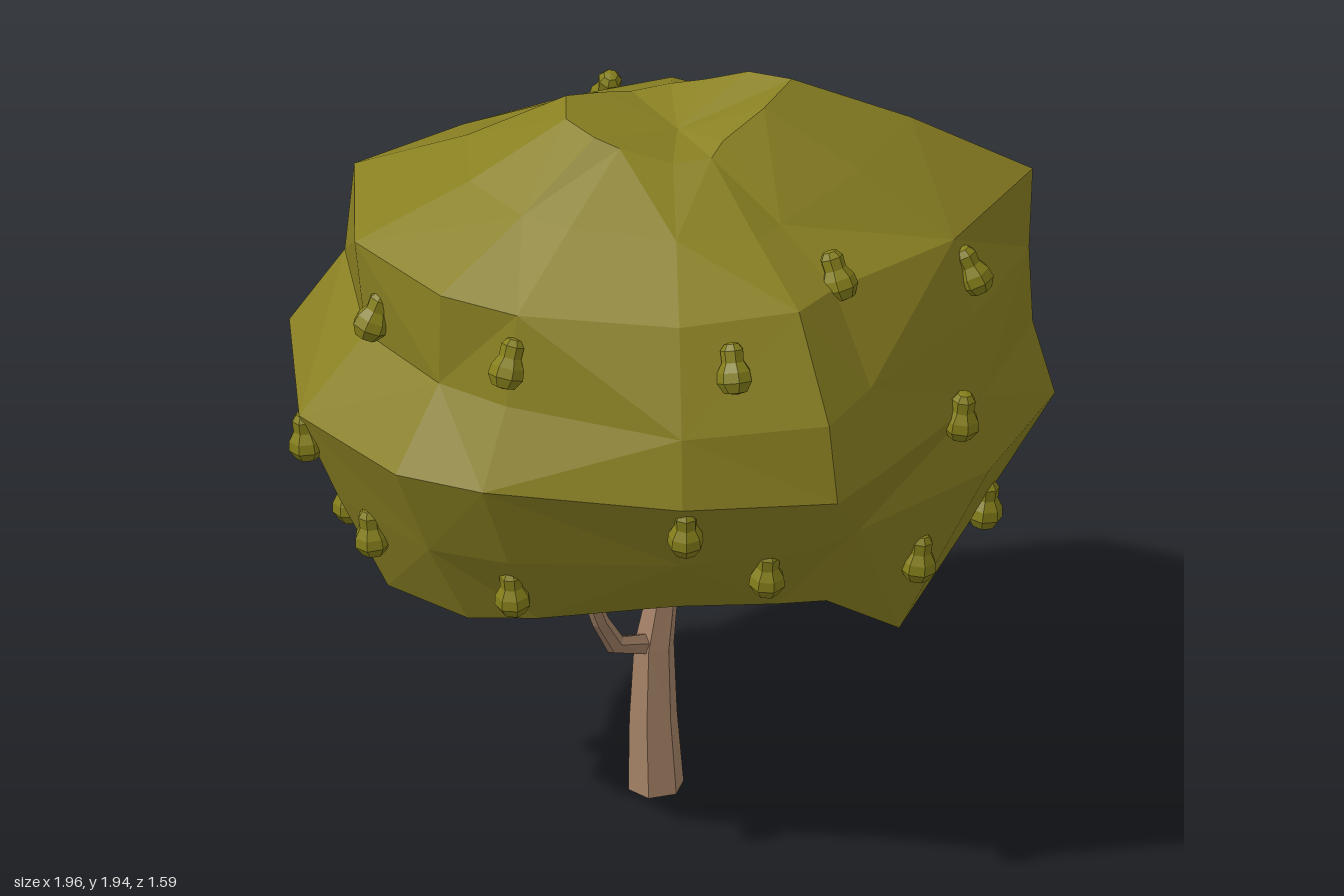
import * as THREE from 'three';

const leafGreen = new THREE.MeshStandardMaterial({ color: 0x8a8022, flatShading: true });
leafGreen.name = 'leafGreen';
const pearGreen = new THREE.MeshStandardMaterial({ color: 0x847e1a, flatShading: true });
pearGreen.name = 'pearGreen';
const barkBrown = new THREE.MeshStandardMaterial({ color: 0xa58266, flatShading: true });
barkBrown.name = 'barkBrown';

// Skin a stack of equal closed rings and fan both ends to a centre point
function loft(rings, startPoint, endPoint) {
  const pos = [];
  const tri = (...pts) => pts.forEach((p) => pos.push(p.x, p.y, p.z));
  const n = rings[0].length;
  const last = rings[rings.length - 1];
  for (let j = 0; j < n; j++) {
    const k = (j + 1) % n;
    tri(startPoint, rings[0][j], rings[0][k]);
    tri(endPoint, last[k], last[j]);
    for (let i = 0; i < rings.length - 1; i++) {
      const a = rings[i][j], b = rings[i + 1][j], c = rings[i][k], d = rings[i + 1][k];
      // Alternate the diagonals for irregular facets
      if ((i + j) % 2) { tri(a, b, c); tri(b, d, c); }
      else { tri(a, b, d); tri(a, d, c); }
    }
  }
  const g = new THREE.BufferGeometry();
  g.setAttribute('position', new THREE.Float32BufferAttribute(pos, 3));
  g.computeVertexNormals();
  return g;
}

// Crown outline seen from above, as x, z corners
const outline = [
  [.95, 0], [.72, .34], [.37, .64], [.22, .78], [-.17, .75], [-.62, .52], [-.8, .36],
  [-.95, 0], [-.84, -.5], [-.48, -.69], [-.17, -.81], [.23, -.81], [.49, -.5], [.73, -.27],
];

// Crown levels from the underside up: outline scale and height,
// then how both change towards the drooping +x side and towards the -x side,
// and the widening at the shoulders of the drooping side
const levels = [
  [.34, .79, .08, -.17, .03, -.04, .06],
  [.58, .77, .03, -.38, .18, -.11, .2],
  [.81, .95, .23, .01, .08, -.03, 0],
  [1, 1.17, -.02, 0, 0, 0, 0],
  [.95, 1.38, .02, 0, -.13, 0, 0],
  [.77, 1.6, .21, 0, .08, .04, 0],
  [.52, 1.73, .13, .06, .02, .04, 0],
  [.25, 1.87, .08, .07, .03, .04, 0],
];

function crownGeometry() {
  const rings = levels.map(([scale, y, plusScale, plusY, minusScale, minusY, widening], i) =>
    outline.map(([x, z], j) => {
      const r = Math.hypot(x, z);
      const c = Math.abs(x) / r;
      // The lower lobe is broad, the upper +x side a narrow ridge
      const sharpness = i < 3 ? 1.5 : x > 0 ? 5 : 2;
      const shoulder = x > 0 ? widening * (2 * x * z / (r * r)) ** 2 : 0;
      const wobble = .022 * Math.sin(j * 5.3 + i * 2.1) * (1 - c * c);
      const s = scale + c ** sharpness * (x > 0 ? plusScale : minusScale) + shoulder;
      const h = y + c ** 3 * (x > 0 ? plusY : minusY) + wobble;
      return new THREE.Vector3(x * s, h, z * s);
    }));
  return loft(rings, new THREE.Vector3(0, .82, 0), new THREE.Vector3(.02, 1.84, 0));
}

// Six-sided limb through x, y points, tapering from radius r0 to r1 and leaning along z
function limbGeometry({ r0, r1, lean, path }) {
  const end = path.length - 1;
  const p = path.map(([x, y], i) => new THREE.Vector3(x, y, lean * i / end));
  const rings = p.map((centre, i) => {
    const t = p[Math.min(i + 1, end)].clone().sub(p[Math.max(i - 1, 0)]);
    const u = new THREE.Vector3(t.y, -t.x, 0).normalize();
    const r = THREE.MathUtils.lerp(r0, r1, i / end);
    return Array.from({ length: 6 }, (_, k) => {
      const a = (k / 6) * Math.PI * 2;
      const q = centre.clone().addScaledVector(u, r * Math.cos(a));
      return q.setZ(centre.z + r * Math.sin(a));
    });
  });
  return loft(rings, p[0], p[end]);
}

const limbs = {
  trunk: { r0: .071, r1: .032, lean: 0, path: [[-.035, 0], [-.042, .2], [-.04, .4], [-.02, .53], [.01, .62]] },
  plusSideBranch: { r0: .036, r1: .012, lean: 0, path: [[-.02, .57], [.05, .625], [.16, .64], [.3, .62], [.46, .57]] },
  minusSideBranch: { r0: .032, r1: .017, lean: .24, path: [[-.05, .4], [-.16, .455], [-.22, .57], [-.3, .78]] },
  middleBranch: { r0: .03, r1: .018, lean: -.06, path: [[-.025, .55], [-.03, .67], [.01, .86]] },
  upperBranch: { r0: .026, r1: .015, lean: .04, path: [[.02, .6], [.08, .7], [.22, .84]] },
};

// Pears around the crown: degrees from +x towards +z, and height
const pears = [
  [91, 1.51], [57, 1.63], [23, 1.5], [33, 1.16], [102, 1.1], [140, 1.49], [175, 1.46], [181, 1.1],
  [82, .9], [34, .75], [9, .74], [173, .87], [142, .82], [-9, 1.23], [-18, 1.4], [-46, 1.43],
  [-91, 1.66], [-102, 1.42], [-112, 1.26], [-138, 1.1], [-63, .96], [-45, .79], [-122, .8], [190, .84],
];

export function createModel() {
  const tree = new THREE.Group();
  tree.name = 'pearTree';

  const crown = new THREE.Mesh(crownGeometry(), leafGreen);
  crown.name = 'crown';
  tree.add(crown);

  for (const [name, limb] of Object.entries(limbs)) {
    const mesh = new THREE.Mesh(limbGeometry(limb), barkBrown);
    mesh.name = name;
    tree.add(mesh);
  }

  // Each pear sits where a level ray towards the trunk meets the crown
  const profile = [[0, -.062], [.03, -.056], [.046, -.03], [.043, -.004], [.029, .02], [.03, .05], [.018, .066], [0, .07]]
    .map(([x, y]) => new THREE.Vector2(x, y));
  const pearGeometry = new THREE.LatheGeometry(profile, 7);
  const ray = new THREE.Raycaster();
  for (const [degrees, y] of pears) {
    const a = THREE.MathUtils.degToRad(degrees);
    const out = new THREE.Vector3(Math.cos(a), 0, Math.sin(a));
    ray.set(out.clone().multiplyScalar(2).setY(y), out.clone().negate());
    const [hit] = ray.intersectObject(crown);
    const pear = new THREE.Mesh(pearGeometry, pearGreen);
    pear.name = 'pear';
    pear.position.copy(hit.point).addScaledVector(out, .012);
    // Upper pears lean in with the slope of the crown
    pear.rotation.set(y > 1.3 ? -.4 : .1, Math.PI / 2 - a, 0, 'YXZ');
    tree.add(pear);
  }
  return tree;
}
